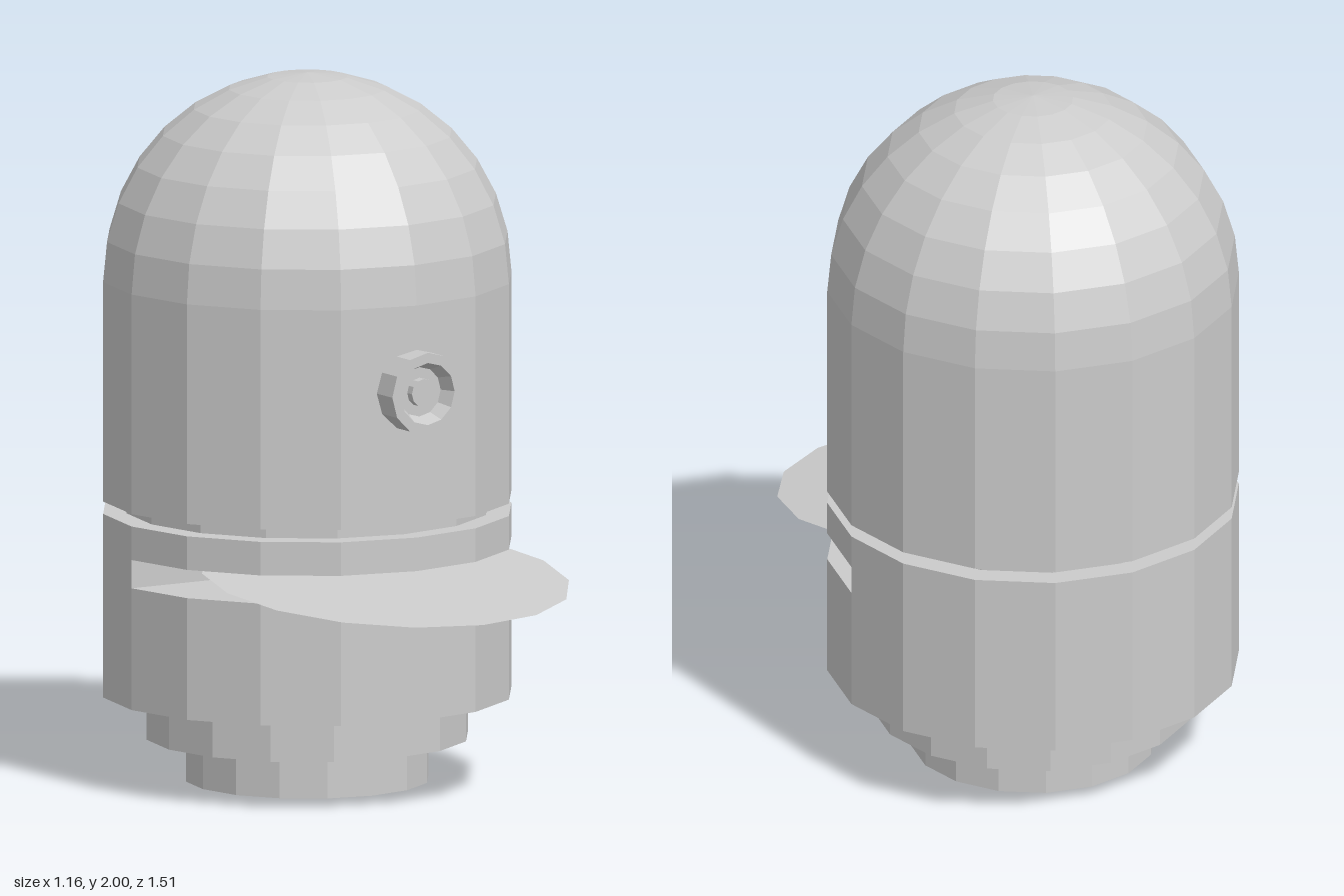
import * as THREE from 'three';

const SIDES = 16;
const R = 0.578;
const BODY_Z = -0.177;

export function createModel() {
  const model = new THREE.Group();
  model.name = 'domedRobot';
  const grey = new THREE.MeshStandardMaterial({ color: 0xcccccc, flatShading: true });
  const thin = new THREE.MeshStandardMaterial({ color: 0xcccccc, flatShading: true, side: THREE.DoubleSide });

  const add = (parent, name, geometry, material = grey) => {
    const mesh = new THREE.Mesh(geometry, material);
    mesh.name = name;
    parent.add(mesh);
    return mesh;
  };

  const body = new THREE.Group();
  body.name = 'body';
  body.position.z = BODY_Z;
  model.add(body);

  // Lathed sections: profiles run from the bottom axis up to the top axis
  const lathe = (name, points) =>
    add(body, name, new THREE.LatheGeometry(points.map(([r, y]) => new THREE.Vector2(r, y)), SIDES));

  // Stepped foot and lower body up to the slot floor
  lathe('steppedBase', [
    [0, 0], [0.343, 0], [0.343, 0.122], [0.455, 0.122], [0.455, 0.245],
    [R, 0.245], [R, 0.59], [0, 0.59],
  ]);

  // Band above the slot, recessed groove, upper body and round dome
  const dome = [];
  for (let i = 0; i <= 8; i++) {
    const a = (i / 8) * Math.PI / 2;
    dome.push([i === 8 ? 0 : R * Math.cos(a), 2 - R + R * Math.sin(a)]);
  }
  lathe('domedUpperBody', [
    [0, 0.67], [R, 0.67], [R, 0.765], [0.512, 0.765], [0.512, 0.8], [R, 0.8], ...dome,
  ]);

  // Solid back half between slot floor and ceiling, with its flat wall
  const slotBack = add(body, 'slotBack',
    new THREE.CylinderGeometry(R, R, 0.08, SIDES / 2, 1, true, Math.PI / 2, Math.PI));
  slotBack.position.y = 0.63;
  const slotWall = add(body, 'slotWall', new THREE.PlaneGeometry(2 * R, 0.08));
  slotWall.position.y = 0.63;

  // Thin disc tilted slightly forward out of the slot
  const disc = add(model, 'slotDisc', new THREE.CircleGeometry(0.52, SIDES), thin);
  disc.rotation.x = -Math.PI / 2 + 0.12;
  disc.position.set(0, 0.63, 0.236);

  // Eye: bevelled ring with a small raised lens, turned to face the front
  const eye = new THREE.Group();
  eye.name = 'eye';
  eye.position.set(0, 1.18, 0.36);
  eye.rotation.x = Math.PI / 2;
  model.add(eye);
  const ring = [[0, 0], [0.117, 0], [0.117, 0.1], [0.088, 0.1], [0.07, 0.055], [0, 0.055]];
  add(eye, 'eyeRing', new THREE.LatheGeometry(ring.map(([r, y]) => new THREE.Vector2(r, y)), 12));
  const lens = add(eye, 'eyeLens', new THREE.CylinderGeometry(0.04, 0.04, 0.03, 12));
  lens.position.y = 0.065;

  return model;
}
